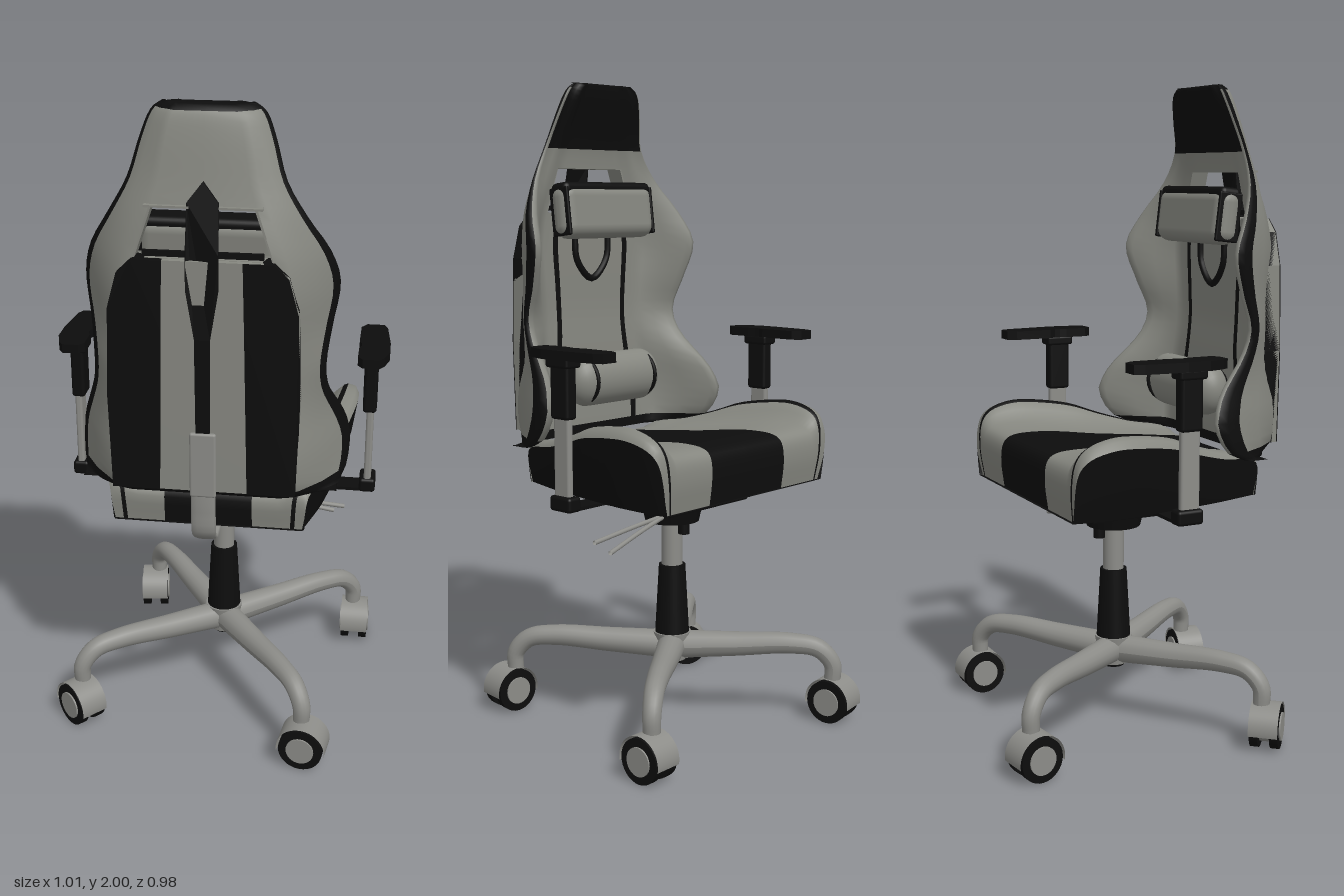
import * as THREE from 'three';
import { RoundedBoxGeometry } from 'three/addons/geometries/RoundedBoxGeometry.js';

const V = (x, y, z) => new THREE.Vector3(x, y, z);
const lerp = THREE.MathUtils.lerp;

// Smooth interpolation of a small key table: rows are [t, a, b, ...]
function sample(keys, t) {
  let i = 0;
  while (i < keys.length - 2 && t > keys[i + 1][0]) i++;
  const a = keys[i], b = keys[i + 1], p = keys[Math.max(i - 1, 0)], q = keys[Math.min(i + 2, keys.length - 1)];
  const h = b[0] - a[0], u = (t - a[0]) / h;
  return a.map((v, k) => {
    const m0 = (b[k] - p[k]) / (b[0] - p[0]) * h, m1 = (q[k] - a[k]) / (q[0] - a[0]) * h;
    const u2 = u * u, u3 = u2 * u;
    return (2 * u3 - 3 * u2 + 1) * v + (u3 - 2 * u2 + u) * m0 + (3 * u2 - 2 * u3) * b[k] + (u3 - u2) * m1;
  });
}

// Skin over rows of points; pick(i, j) gives the material index of a quad, or -1 for a hole
function skin(rows, mats, pick, closed = false) {
  const n = rows[0].length, idx = mats.map(() => []);
  for (let i = 0; i < rows.length - 1; i++) for (let j = 0; j < (closed ? n : n - 1); j++) {
    const m = pick(i, j);
    if (m < 0) continue;
    const a = i * n + j, b = i * n + (j + 1) % n;
    idx[m].push(a, b, a + n, b, b + n, a + n);
  }
  const g = new THREE.BufferGeometry().setFromPoints(rows.flat());
  g.setIndex(idx.flat());
  let start = 0;
  idx.forEach((l, m) => { g.addGroup(start, l.length, m); start += l.length; });
  g.computeVertexNormals();
  return new THREE.Mesh(g, mats);
}

export function createModel() {
  const mat = (name, color) => new THREE.MeshStandardMaterial({ name, color, side: THREE.DoubleSide });
  const grey = mat('grey leather', 0x868780), black = mat('black', 0x0d0d0d), metal = mat('grey metal', 0x8c8c88);
  const model = new THREE.Group();
  const add = (name, geo, m, x = 0, y = 0, z = 0, parent = model) => {
    const mesh = new THREE.Mesh(geo, m);
    mesh.name = name;
    mesh.position.set(x, y, z);
    parent.add(mesh);
    return mesh;
  };
  const rbox = (w, h, d, r) => new RoundedBoxGeometry(w, h, d, 3, r);
  const cyl = (r1, r2, h, n = 32) => new THREE.CylinderGeometry(r1, r2, h, n);
  const plate = (pts, depth) => new THREE.ExtrudeGeometry(
    new THREE.Shape(pts.map(p => new THREE.Vector2(...p))), { depth, bevelEnabled: false });
  const tube = (pts, r, n = 24, k = 12) => new THREE.TubeGeometry(new THREE.CatmullRomCurve3(pts), n, r, k);

  // Seat: t, z, centre height, bolster height, half width, crease, half stripe
  const seatKeys = [
    [0, .34, .76, .76, .285, .20, .13], [1, .34, .865, .88, .295, .21, .13], [2, .2, .89, .915, .34, .235, .135],
    [3, .1, .90, .945, .365, .25, .14], [4, 0, .91, .98, .388, .27, .145], [5, -.12, .925, .998, .408, .29, .155],
    [6, -.2, .93, .998, .411, .305, .16], [7, -.27, .925, .975, .405, .315, .165], [8, -.303, .90, .93, .392, .32, .168],
    [9, -.31, .84, .85, .378, .32, .17], [10, -.30, .76, .76, .36, .315, .17]];
  const seatRows = [], floor = [], walls = [[], []];
  for (let i = 0; i <= 40; i++) {
    const [, z, yc, yb, w, c, s] = sample(seatKeys, i / 4);
    const k = (yb - .76) / .24, d = yb - yc;
    const half = [[0, yc], [s, yc], [c, yc + .1 * d], [lerp(c, w, .3), yc + .6 * d], [lerp(c, w, .5), yc + .9 * d],
      [lerp(c, w, .65), yb], [lerp(c, w, .9), yb - .008 * k], [w, yb - .03 * k]];
    const pts = half.map(([x, y]) => V(x, y, z));
    seatRows.push([...pts.slice(1).reverse().map(p => V(-p.x, p.y, p.z)), ...pts]);
    const wb = w * (1 - .1 * k);
    floor.push([V(-wb, .76, z), V(wb, .76, z)]);
    [-1, 1].forEach((sx, n) => walls[n].push(
      [V(sx * w, yb - .03 * k, z), V(sx * lerp(w, wb, .4), lerp(yb - .03 * k, .76, .5), z), V(sx * wb, .76, z)]));
  }
  const seat = new THREE.Group();
  seat.name = 'seat';
  const seatTop = skin(seatRows, [grey, black], (i, j) => {
    const h = j >= 7 ? j - 7 : 6 - j;
    return h === 0 || h === 4 ? 1 : 0;
  });
  seatTop.name = 'seatCover';
  seat.add(seatTop);
  [...walls, floor].forEach((rows, n) => {
    const m = skin(rows, [black], () => 0);
    m.name = n < 2 ? 'seatSide' : 'seatUnderside';
    seat.add(m);
  });
  model.add(seat);

  // Backrest shell: y, half width, wing front z, rear z, inner z
  const backKeys = [
    [.89, .375, .26, .40, .33], [.92, .395, .19, .42, .33], [1.0, .402, .14, .425, .335], [1.05, .393, .148, .425, .34],
    [1.1, .375, .175, .425, .345], [1.2, .34, .262, .425, .35], [1.28, .333, .29, .425, .355], [1.38, .345, .255, .425, .355],
    [1.5, .362, .222, .425, .355], [1.6, .335, .265, .42, .355], [1.7, .275, .315, .41, .355], [1.8, .218, .328, .392, .345],
    [1.9, .187, .305, .375, .315], [1.96, .165, .29, .362, .295], [1.985, .148, .287, .352, .29], [2.0, .125, .287, .335, .288]];
  const ys = [.89, .9, .92, ...Array.from({ length: 21 }, (_, i) => .95 + i * .0325), 1.635, 1.67, 1.705, 1.74,
    1.77, 1.8, 1.83, 1.86, 1.89, 1.92, 1.945, 1.96, 1.975, 1.985, 1.993, 2.0];
  const backRow = (y, flat = 0) => {
    const [, W, zf, zb, zi] = sample(backKeys, y), mid = (zb + zf) / 2;
    const half = [[0, zb], [.57, zb], [.68, zb - .012], [.84, lerp(zb, zf, .38)], [.95, lerp(zb, zf, .7)], [1, lerp(zb, zf, .88)],
      [.99, zf + .004], [.95, zf], [.9, zf + .012], [.78, lerp(zf, zi, .5)], [.66, zi - .008], [.57, zi],
      [.46, zi], [.4, zi], [0, zi]].map(([f, z]) => V(f * W, y, lerp(z, mid, flat)));
    return [...half, ...half.slice(1, -1).reverse().map(p => V(-p.x, p.y, p.z))];
  };
  const backRows = [backRow(.89, 1), ...ys.map(y => backRow(y)), backRow(2, 1)];
  const back = skin(backRows, [grey, black], (i, j) => {
    const y = (backRows[i][0].y + backRows[i + 1][0].y) / 2, h = j < 14 ? j : 27 - j;
    if (y > 1.6 && y < 1.74 && (h === 0 || h >= 11)) return -1;
    if (y > 1.985 || y < .92 || h === 4 || h === 5) return 1;
    if (h >= 7 && y > 1.79) return 1;
    return h === 12 && y < 1.6 ? 1 : 0;
  }, true);
  back.name = 'backrest';
  model.add(back);

  // Lining of the opening in the backrest
  for (const y of [1.598, 1.742]) add('openingLining', new THREE.BoxGeometry(.32, .006, .062), grey, 0, y, .384);
  for (const s of [-1, 1]) {
    const jamb = add('openingJamb', new THREE.BoxGeometry(.006, .155, .058), grey, s * .166, 1.67, .385);
    jamb.rotation.z = s * .33;
  }

  // Rear panel, its dark bands, strap and the centre trim
  const rearHalf = [[.262, .915], [.27, 1.2], [.262, 1.46], [.235, 1.56], [.195, 1.6], [.11, 1.6]];
  add('rearPanel', plate([...rearHalf, ...rearHalf.map(([x, y]) => [-x, y]).reverse()], .06), grey, 0, 0, .373);
  for (const s of [-1, 1])
    add('rearBand', plate([...rearHalf, [.115, 1.4], [.125, .915]].map(([x, y]) => [s * x, y]), .064), black, 0, 0, .372);
  const trimHalf = [[.043, 1.755], [.045, 1.62], [.045, 1.52], [.022, 1.38], [.02, 1.1]];
  const trim = plate([[0, 1.81], ...trimHalf, ...trimHalf.map(([x, y]) => [-x, y]).reverse()], .008);
  const tp = trim.attributes.position;
  for (let i = 0; i < tp.count; i++) tp.setZ(i, tp.getZ(i) - Math.max(0, tp.getY(i) - 1.62) * .2);
  trim.computeVertexNormals();
  add('rearTrim', trim, black, 0, 0, .432);
  add('pillowStrap', new THREE.BoxGeometry(.33, .016, .012), black, 0, 1.615, .415);

  // Pillows and the front strap
  const headrest = new THREE.Group();
  headrest.name = 'headrest';
  headrest.position.set(0, 1.605, .295);
  headrest.rotation.x = .12;
  add('headPillow', rbox(.4, .17, .085, .04), grey, 0, 0, 0, headrest);
  add('headPillowTop', rbox(.385, .04, .074, .018), black, 0, .07, 0, headrest);
  for (const s of [-1, 1]) add('headPillowPiping', rbox(.012, .15, .08, .005), black, s * .187, 0, 0, headrest);
  model.add(headrest);
  const lumbar = add('lumbarPillow', new THREE.CapsuleGeometry(.072, .24, 8, 24), grey, 0, 1.075, .262);
  lumbar.rotation.z = Math.PI / 2;
  lumbar.scale.set(1.15, 1, .9);
  for (const s of [-1, 1]) {
    const end = add('lumbarPiping', new THREE.TorusGeometry(.07, .006, 8, 24), black, s * .13, 1.075, .262);
    end.rotation.y = Math.PI / 2;
  }
  add('frontStrap', tube([V(-.075, 1.54, .352), V(-.065, 1.45, .352), V(0, 1.39, .352), V(.065, 1.45, .352), V(.075, 1.54, .352)], .011), black);

  // Bracket joining the backrest to the mechanism
  const bracket = tube([V(0, 1.0, .434), V(0, .85, .434), V(0, .775, .425), V(0, .745, .39), V(0, .742, .3), V(0, .742, .15)], .009);
  bracket.scale(4, 1, 1);
  add('backBracket', bracket, metal);
  add('bracketPlate', rbox(.076, .2, .016, .007), metal, 0, 1.0, .438);

  // Mechanism, tapered towards the bottom
  const mech = new THREE.BoxGeometry(.4, .06, .4);
  const mp = mech.attributes.position;
  for (let i = 0; i < mp.count; i++) if (mp.getY(i) < 0) { mp.setX(i, mp.getX(i) * .9); mp.setZ(i, mp.getZ(i) * .88); }
  mech.computeVertexNormals();
  add('mechanism', mech, black, 0, .732, .02);
  add('mechanismHousing', cyl(.1, .085, .065), black, 0, .675, 0);
  add('tiltKnob', cyl(.018, .018, .07, 16), black, 0, .64, -.05);
  for (const [x, y, z] of [[.385, .645, -.04], [.35, .612, -.07]])
    add('lever', tube([V(.06, .672, -.03), V(.2, (y + .672) / 2 + .004, (z - .03) / 2), V(x, y, z)], .007), metal);

  // Armrests
  const padShape = [[.412, -.15], [.43, -.178], [.482, -.178], [.494, -.15], [.506, -.02], [.506, .05], [.492, .1],
    [.478, .122], [.428, .122], [.413, .1], [.413, .03], [.42, .01], [.42, -.01], [.412, -.03]];
  for (const s of [-1, 1]) {
    const arm = new THREE.Group();
    arm.name = s > 0 ? 'leftArmrest' : 'rightArmrest';
    const pad = plate(padShape.map(([x, z]) => [s * x, -z]), .028);
    pad.rotateX(-Math.PI / 2);
    add('armPad', pad, black, 0, 1.192, 0, arm);
    add('armCollar', rbox(.06, .03, .09, .008), black, s * .453, 1.18, .013, arm);
    add('armSleeve', rbox(.042, .17, .072, .01), black, s * .453, 1.1, .013, arm);
    add('armPost', rbox(.022, .27, .062, .008), metal, s * .455, .9, .013, arm);
    add('armFoot', rbox(.05, .045, .085, .01), black, s * .455, .768, .008, arm);
    add('armBar', new THREE.BoxGeometry(.32, .01, .07), black, s * .31, .752, .008, arm);
    model.add(arm);
  }

  // Gas column and hub
  add('column', cyl(.033, .033, .2), metal, 0, .57, 0);
  add('columnSleeve', cyl(.042, .054, .22), black, 0, .39, 0);
  add('hub', cyl(.06, .045, .09), metal, 0, .235, 0);
  add('hubCap', cyl(.036, .034, .012), black, 0, .186, 0);

  // Four curved legs, thicker at the hub
  const legCurve = new THREE.CatmullRomCurve3([[0, .235], [.2, .243], [.38, .251], [.465, .238], [.51, .19], [.512, .14]].map(([r, y]) => V(r, y, 0)));
  const legGeo = new THREE.TubeGeometry(legCurve, 40, .026, 16), lp = legGeo.attributes.position;
  for (let i = 0; i < lp.count; i++) {
    const t = Math.floor(i / 17) / 40, c = legCurve.getPointAt(t), p = V(0, 0, 0).fromBufferAttribute(lp, i);
    p.sub(c).multiplyScalar(1 + .75 * (1 - t)).add(c);
    lp.setXYZ(i, p.x, p.y, p.z);
  }
  legGeo.computeVertexNormals();
  for (let i = 0; i < 4; i++) add('leg', legGeo, metal).rotation.y = (35.5 + 90 * i) * Math.PI / 180;

  // Casters: x, z and rolling direction
  const cover = new THREE.CylinderGeometry(.075, .075, .09, 28, 1, true, -1.75 + Math.PI / 2, 3.5);
  cover.rotateZ(Math.PI / 2);
  const disc = (r, h) => cyl(r, r, h).rotateZ(Math.PI / 2);
  for (const [x, z, dx, dz] of [[-.31, -.41, .02, .15], [.425, -.295, 0, 1], [-.42, .315, .11, .1], [.305, .435, .145, .02]]) {
    const c = new THREE.Group();
    c.name = 'caster';
    c.position.set(x, .068, z);
    c.rotation.y = Math.atan2(dx, dz);
    add('casterCover', cover, metal, 0, 0, 0, c);
    add('casterBody', disc(.06, .03), metal, 0, .012, 0, c);
    for (const s of [-1, 1]) {
      add('wheel', disc(.068, .026), black, s * .031, 0, 0, c);
      add('wheelCap', disc(.043, .006), metal, s * .046, 0, 0, c);
    }
    model.add(c);
  }
  return model;
}
